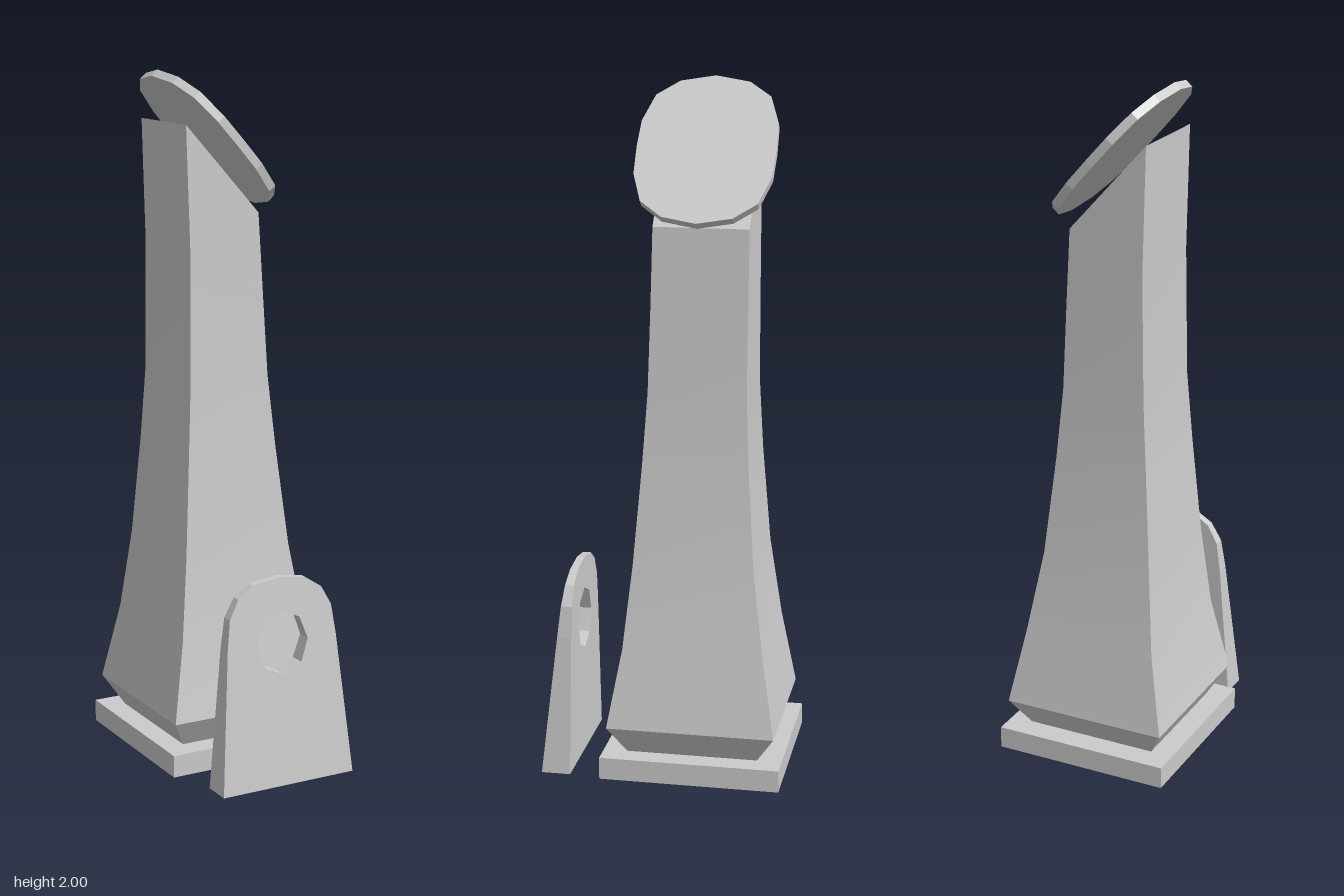
import * as THREE from 'three';

const material = new THREE.MeshStandardMaterial({ color: 0xcccccc, side: THREE.DoubleSide });
const CZ = -0.09; // depth centre of the pedestal

function addMesh(parent, name, geometry) {
  const mesh = new THREE.Mesh(geometry, material);
  mesh.name = name;
  parent.add(mesh);
  return mesh;
}

// Four corners of a ring [left x, right x, back z, front z, left y, right y]
const corners = ([x0, x1, z0, z1, yl, yr]) => [[x0, yl, z1], [x1, yr, z1], [x1, yr, z0], [x0, yl, z0]];

// Four walls through the rings: smooth upwards, sharp at the corners
function addWalls(parent, name, rings) {
  const group = new THREE.Group();
  group.name = name;
  parent.add(group);
  for (let side = 0; side < 4; side++) {
    const points = [], index = [];
    rings.forEach((ring, i) => {
      const c = corners(ring);
      points.push(...c[side], ...c[(side + 1) % 4]);
      if (i) {
        const a = 2 * i - 2;
        index.push(a, a + 1, a + 3, a, a + 3, a + 2);
      }
    });
    addMesh(group, name + 'Wall', polygonMesh(points, index));
  }
  return group;
}

function polygonMesh(points, index) {
  const g = new THREE.BufferGeometry();
  g.setAttribute('position', new THREE.Float32BufferAttribute(points, 3));
  g.setIndex(index);
  g.computeVertexNormals();
  return g;
}

// Mirror a half outline (axis point first, axis point last) across x = 0
function mirrored(half) {
  const other = half.slice(1, -1).reverse().map(([x, y]) => [-x, y]);
  return [...half, ...other].map(([x, y]) => new THREE.Vector2(x, y));
}

export function createModel() {
  const model = new THREE.Group();
  model.name = 'pedestal';

  // Square foot slab
  addMesh(model, 'footSlab', new THREE.BoxGeometry(0.526, 0.065, 0.524)).position.set(0, 0.0425, CZ);

  // Undercut below the shaft, then the flaring shaft with its slanted top
  const widest = [-0.248, 0.245, -0.333, 0.155, 0.16, 0.16];
  const top = [-0.15, 0.08, -0.227, 0.047, 1.855, 1.6];
  addWalls(model, 'undercut', [[-0.197, 0.197, -0.28, 0.102, 0.075, 0.075], widest]);
  const shaft = addWalls(model, 'shaft', [
    widest,
    [-0.203, 0.2, -0.293, 0.115, 0.39, 0.39],
    [-0.178, 0.158, -0.259, 0.092, 0.63, 0.63],
    [-0.157, 0.126, -0.237, 0.07, 0.92, 0.92],
    [-0.144, 0.106, -0.227, 0.057, 1.13, 1.13],
    [-0.14, 0.093, -0.227, 0.051, 1.5, 1.37],
    top,
  ]);
  addMesh(shaft, 'slantedTop', polygonMesh(corners(top).flat(), [0, 1, 2, 0, 2, 3]));

  // Thin tilted plate hovering above the slanted top
  const plateShape = new THREE.Shape(mirrored([
    [0, -0.198], [0.09, -0.195], [0.18, -0.165], [0.23, -0.1], [0.25, 0],
    [0.23, 0.1], [0.18, 0.165], [0.09, 0.195], [0, 0.198],
  ]));
  const plateGeometry = new THREE.ExtrudeGeometry(plateShape, { depth: 0.025, bevelEnabled: false });
  plateGeometry.translate(0, 0, -0.025).rotateX(-Math.PI / 2).rotateZ(-0.845);
  addMesh(model, 'tiltedPlate', plateGeometry).position.set(-0.0015, 1.812, CZ);

  // Arched wedge panel standing in front, with an eight-sided hole
  const panelShape = new THREE.Shape(mirrored([
    [0, 0], [0.2125, 0], [0.177, 0.41], [0.165, 0.5], [0.135, 0.555], [0.085, 0.588], [0, 0.6],
  ]));
  const hole = Array.from({ length: 8 }, (_, i) => {
    const a = -i * Math.PI / 4;
    return new THREE.Vector2(0.083 * Math.cos(a), 0.413 + 0.093 * Math.sin(a));
  });
  panelShape.holes.push(new THREE.Path(hole));
  const panelGeometry = new THREE.ExtrudeGeometry(panelShape, { depth: 1, bevelEnabled: false });
  // Thin the panel towards its top
  const p = panelGeometry.attributes.position;
  for (let i = 0; i < p.count; i++) p.setZ(i, p.getZ(i) * (0.085 - 0.105 * p.getY(i)));
  panelGeometry.computeVertexNormals();
  addMesh(model, 'frontPanel', panelGeometry).position.set(0.0135, 0, 0.268);

  return model;
}
